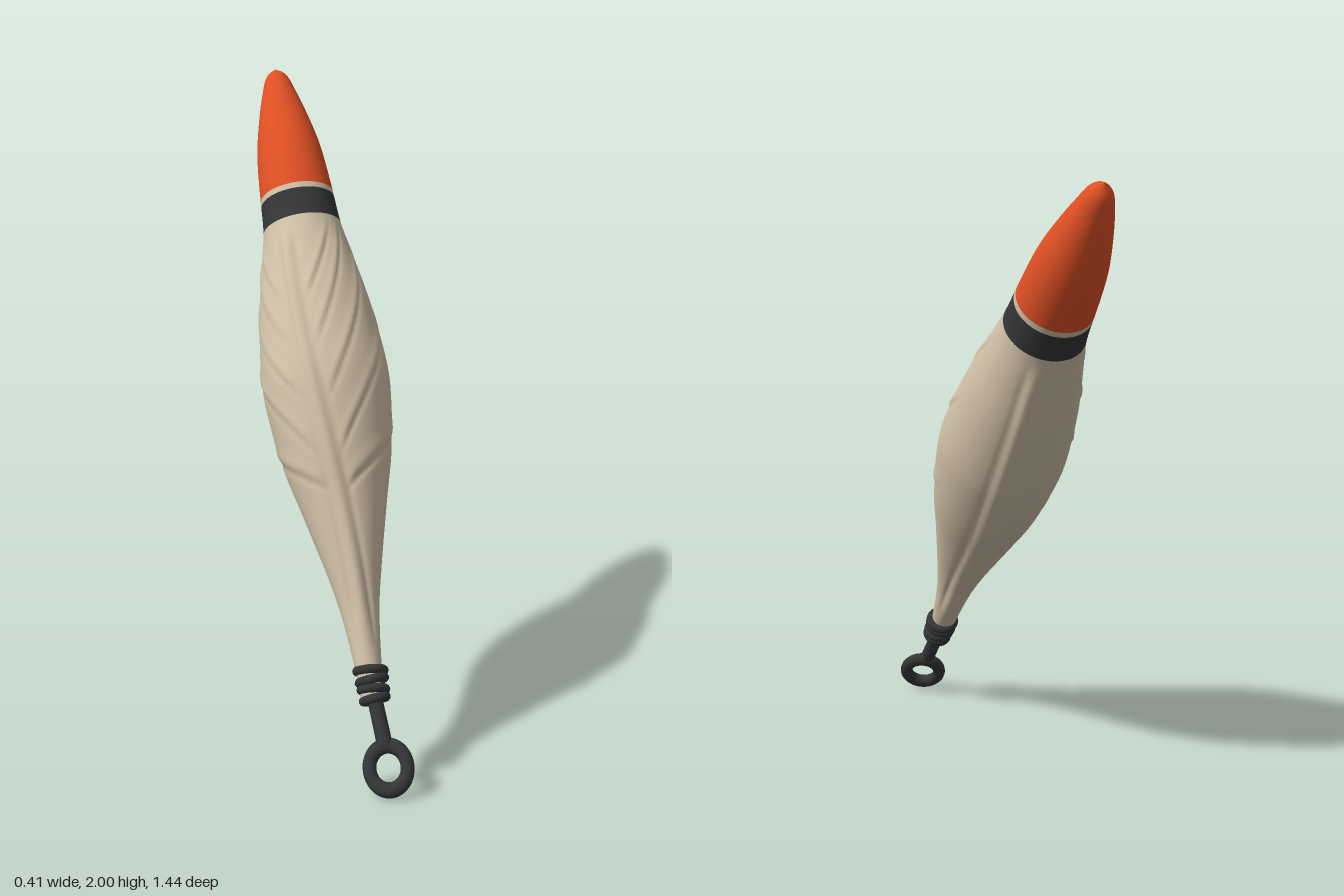
import * as THREE from 'three';

// Body spine: z offset, height along the axis, radius
const profile = [
  [0.005, -0.04, 0.038], [0.008, 0.05, 0.042], [0.015, 0.228, 0.062], [0.02, 0.345, 0.086],
  [0.022, 0.557, 0.138], [0.026, 0.716, 0.178], [0.034, 0.9, 0.204], [0.036, 0.99, 0.207],
  [0.038, 1.22, 0.183], [0.041, 1.363, 0.156], [0.043, 1.495, 0.131], [0.04, 1.592, 0.124],
  [0.039, 1.612, 0.123], [0.03, 1.79, 0.108], [0.023, 1.93, 0.079], [0.02, 2.0, 0.06],
  [0.019, 2.07, 0.035], [0.02, 2.1, 0],
];
const curve = new THREE.CatmullRomCurve3(profile.map(p => new THREE.Vector3(...p)));
const SIDES = 112;

// Side veins: start height and climb per radian
const veins = [[0.55, 0.12], [0.62, 0.28], [0.78, 0.33], [0.95, 0.35], [1.12, 0.3]];

const bump = (x, w) => Math.exp(-((x / w) ** 2));
const wrap = a => Math.atan2(Math.sin(a), Math.cos(a));

// Leaf relief: a raised midrib front and back, with fine grooves between
function relief(t, angle, r) {
  const fade = THREE.MathUtils.smoothstep(t, 0.05, 0.25) * (1 - THREE.MathUtils.smoothstep(t, 1.36, 1.49));
  const a = wrap(angle + 0.08 + 0.42 * t);
  const b = wrap(angle - Math.PI + 0.45);
  let d = 0;
  for (const rib of [a, b]) {
    d += 0.009 * bump(rib * r, 0.018) - 0.004 * bump(Math.abs(rib * r) - 0.03, 0.01);
  }
  const s = Math.abs(a);
  const reach = THREE.MathUtils.smoothstep(s, 0.15, 0.4) * (1 - THREE.MathUtils.smoothstep(s, 1.5, 2.1));
  for (const [start, climb] of veins) {
    const off = t - start - climb * s;
    d += reach * (0.004 * bump(off - 0.03, 0.03) - 0.005 * bump(off, 0.014));
  }
  return d * fade;
}

// Skin between two profile points
function section(from, to, rowsPerPoint) {
  const rows = (to - from) * rowsPerPoint;
  const pos = [], index = [];
  for (let i = 0; i <= rows; i++) {
    const p = curve.getPoint((from + (to - from) * i / rows) / (profile.length - 1));
    for (let j = 0; j < SIDES; j++) {
      const angle = j / SIDES * Math.PI * 2;
      const r = Math.max(p.z, 0) + relief(p.y, angle, p.z);
      pos.push(Math.sin(angle) * r * 0.97, p.y, p.x + Math.cos(angle) * r);
      if (i < rows) {
        const k = (j + 1) % SIDES, lo = i * SIDES, hi = lo + SIDES;
        index.push(lo + j, lo + k, hi + k, lo + j, hi + k, hi + j);
      }
    }
  }
  const g = new THREE.BufferGeometry();
  g.setAttribute('position', new THREE.Float32BufferAttribute(pos, 3));
  g.setIndex(index);
  g.computeVertexNormals();
  return g;
}

function material(name, color) {
  const m = new THREE.MeshStandardMaterial({ color });
  m.name = name;
  return m;
}

export function createModel() {
  const model = new THREE.Group();
  model.name = 'fishingFloat';
  const beige = material('beige', 0xcfbfa6);
  const orange = material('orange', 0xe05024);
  const black = material('black', 0x343537);

  const float = new THREE.Group();
  float.name = 'leaningFloat';
  float.position.set(0.01, 0.289, 0.525);
  float.rotation.x = -0.631;
  model.add(float);

  function add(name, geometry, mat, x = 0, y = 0, z = 0) {
    const mesh = new THREE.Mesh(geometry, mat);
    mesh.name = name;
    mesh.position.set(x, y, z);
    float.add(mesh);
    return mesh;
  }

  // Painted body, from stem to tip
  add('body', section(0, 10, 20), beige);
  add('blackBand', section(10, 11, 4), black);
  add('paleStripe', section(11, 12, 2), beige);
  add('orangeTip', section(12, 17, 8), orange);

  // Wire wound around the stem
  add('collarCore', new THREE.CylinderGeometry(0.043, 0.034, 0.1, 24), black, 0.005, -0.005, 0.004);
  for (let i = 0; i < 4; i++) {
    const coil = add('collarCoil', new THREE.TorusGeometry(0.041 - 0.002 * i, 0.0145, 10, 32), black,
      0.005, 0.04 - 0.029 * i, 0.005);
    coil.rotation.set(Math.PI / 2 + 0.06, i % 2 ? 0.1 : -0.08, 0);
  }

  // Shank and ring of the line eye
  const shank = add('eyeShank', new THREE.CylinderGeometry(0.023, 0.024, 0.15, 20), black, 0.011, -0.115, -0.002);
  shank.rotation.z = 0.06;
  const eye = add('eyeRing', new THREE.TorusGeometry(0.058, 0.021, 14, 40), black, 0.017, -0.255, -0.008);
  eye.scale.y = 1.15;
  eye.rotation.y = -0.42;

  return model;
}
